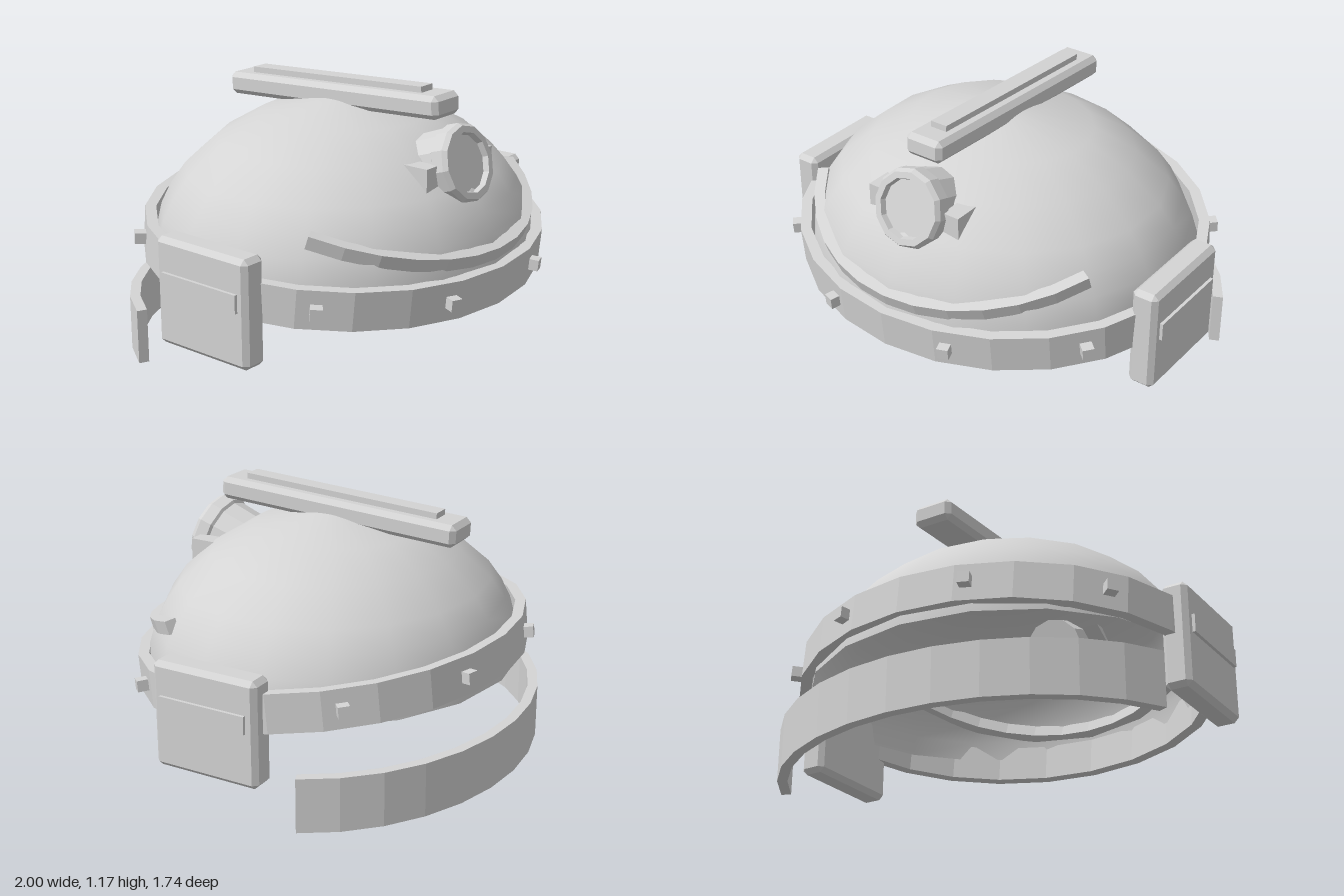
import * as THREE from 'three';
import { ConvexGeometry } from 'three/addons/geometries/ConvexGeometry.js';

const grey = new THREE.MeshStandardMaterial({ color: 0xd4d4d4, side: THREE.DoubleSide });
grey.name = 'plain grey';
const CZ = 0.025; // centre of the shell in z

function add(parent, name, geo, x = 0, y = 0, z = 0, flat = true) {
  let g = geo;
  if (flat) {
    if (g.index) g = g.toNonIndexed();
    g.computeVertexNormals();
  }
  const m = new THREE.Mesh(g, grey);
  m.name = name;
  m.position.set(x, y, z);
  parent.add(m);
  return m;
}

// Box with all edges chamfered by c
function chamferBox(w, h, d, c) {
  const pts = [];
  for (const i of [-1, 1]) for (const j of [-1, 1]) for (const k of [-1, 1]) {
    const p = (a, b, e) => pts.push(new THREE.Vector3(i * (w / 2 - a), j * (h / 2 - b), k * (d / 2 - e)));
    p(0, c, c);
    p(c, 0, c);
    p(c, c, 0);
  }
  return new ConvexGeometry(pts);
}

// Upright elliptical strip, angles in degrees from +z towards +x, centred in height
function arcStrip(rx, rz, thick, height, a0, a1, segs) {
  const pts = [];
  const edge = (t, i) => {
    const a = THREE.MathUtils.degToRad(a0 + (a1 - a0) * i / segs);
    pts.push(new THREE.Vector2((rx - t) * Math.sin(a), -(rz - t) * Math.cos(a)));
  };
  for (let i = 0; i <= segs; i++) edge(0, i);
  for (let i = segs; i >= 0; i--) edge(thick, i);
  const g = new THREE.ExtrudeGeometry(new THREE.Shape(pts), { depth: height, bevelEnabled: false });
  return g.translate(0, 0, -height / 2).rotateX(-Math.PI / 2);
}

export function createModel() {
  const model = new THREE.Group();
  model.name = 'helmet';

  // Smooth open shell with a shallow conical crown
  const profile = [[0.902, 0.41], [0.893, 0.5], [0.866, 0.585], [0.818, 0.675], [0.75, 0.765],
    [0.6, 0.89], [0.41, 0.99], [0.1, 1.055], [0, 1.065]];
  const dome = new THREE.LatheGeometry(profile.map(p => new THREE.Vector2(...p)), 18);
  add(model, 'shell', dome.scale(1, 1, 0.905), 0, 0, CZ - 0.005, false);

  // Tilted headband, with its joints under the ear boxes
  const band = new THREE.Group();
  band.name = 'headband';
  band.position.set(0, 0.455, CZ);
  band.rotation.x = 0.1;
  model.add(band);
  add(band, 'frontBand', arcStrip(0.96, 0.842, 0.048, 0.17, -90, 90, 12));
  add(band, 'backBand', arcStrip(0.96, 0.842, 0.048, 0.17, 90, 270, 12));
  for (const sx of [-1, 1]) for (const sz of [-1, 1]) {
    for (const [x, z, yaw] of [[0.303, 0.812, 0.32], [0.795, 0.498, 0.85]]) {
      add(band, 'stud', new THREE.BoxGeometry(0.05, 0.05, 0.05), sx * x, 0, sz * z).rotation.y = sx * sz * yaw;
    }
  }

  // Ear boxes with a thin outer plate
  for (const s of [-1, 1]) {
    add(model, 'earBox', chamferBox(0.12, 0.47, 0.5, 0.022), s * 0.926, 0.39, 0.07);
    add(model, 'earPlate', new THREE.BoxGeometry(0.03, 0.08, 0.41), s * 0.985, 0.44, 0.072);
  }

  // Crest bar with a raised rail
  const crest = new THREE.Group();
  crest.name = 'crest';
  crest.position.set(0, 1.068, -0.01);
  crest.rotation.x = -0.051;
  model.add(crest);
  add(crest, 'crestBar', chamferBox(0.185, 0.1, 1.17, 0.022));
  add(crest, 'crestRail', new THREE.BoxGeometry(0.08, 0.04, 0.95), 0, 0.056, 0);

  // Sloping brow trim, partly sunk into the shell
  const brow = add(model, 'browTrim', arcStrip(0.84, 0.87, 0.05, 0.06, -61, 61, 12), 0, 0.803, CZ);
  brow.rotation.x = 0.35;

  // Neck guard, standing free behind the shell
  add(model, 'neckGuard', arcStrip(1.042, 0.89, 0.045, 0.24, 114, 246, 12), 0, 0.12, 0.02);

  // Headlamp, aimed slightly upwards, with a recessed lens
  const lampProfile = [[0, -0.24], [0.15, -0.24], [0.16, -0.085], [0.172, -0.075], [0.172, -0.02],
    [0.158, 0], [0.13, 0], [0.123, -0.025], [0, -0.025]];
  const lamp = new THREE.LatheGeometry(lampProfile.map(p => new THREE.Vector2(...p)), 12);
  const lampMesh = add(model, 'headlamp', lamp.rotateX(Math.PI / 2), 0, 0.873, 0.692);
  lampMesh.rotation.x = -0.3;

  // Wedge brackets at the sides of the lamp
  const wedge = new THREE.Shape([[0.64, 0.885], [0.47, 0.885], [0.64, 0.785]].map(p => new THREE.Vector2(...p)));
  for (const s of [-1, 1]) {
    const g = new THREE.ExtrudeGeometry(wedge, { depth: 0.08, bevelEnabled: false });
    g.rotateY(-Math.PI / 2); // shape x becomes z, depth becomes -x
    add(model, 'lampBracket', g.translate(0.04, 0, 0), s * 0.195, 0, 0);
  }
  return model;
}
